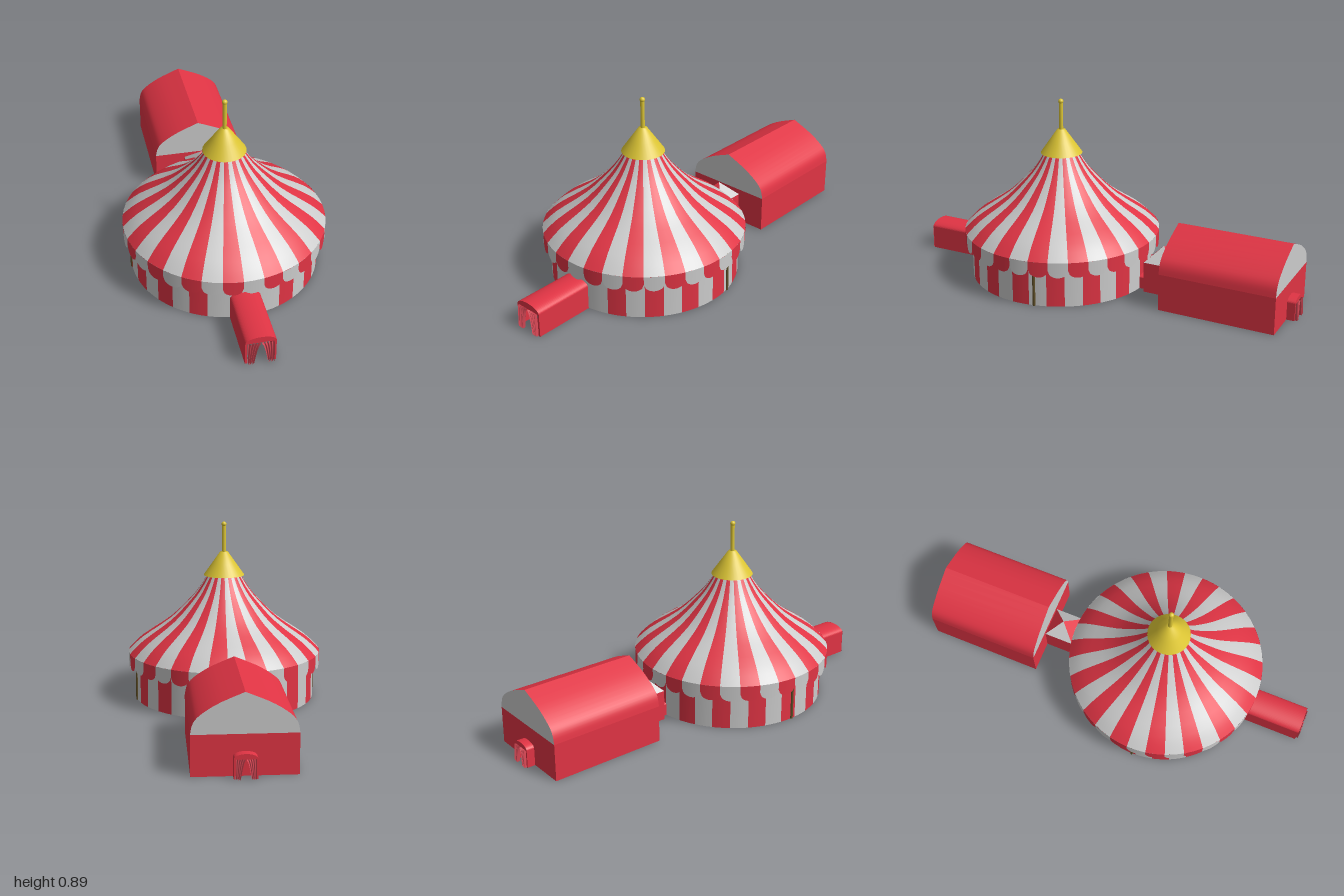
import * as THREE from 'three';
import { mergeGeometries } from 'three/addons/utils/BufferGeometryUtils.js';

const mat = (color, flatShading = false) =>
  new THREE.MeshStandardMaterial({ color, flatShading, side: THREE.DoubleSide });
const RED = mat(0xe03444), WHITE = mat(0xe8e8ea), GOLD = mat(0xdcc534);
const CLOTH = mat(0xdc4a58), WOOD = mat(0x5f4f28);
const RED_FLAT = mat(0xe03444, true), WHITE_FLAT = mat(0xe8e8ea, true);
const DEG = Math.PI / 180;

function add(parent, name, geometry, material, x = 0, y = 0, z = 0) {
  const mesh = new THREE.Mesh(geometry, material);
  mesh.name = name;
  mesh.position.set(x, y, z);
  parent.add(mesh);
  return mesh;
}

// Sheet whose points follow a rule f(u, v) -> [x, y, z], u to the right, v up
function sheet(nu, nv, f) {
  const g = new THREE.PlaneGeometry(1, 1, nu, nv);
  const p = g.attributes.position;
  for (let i = 0; i < p.count; i++) p.setXYZ(i, ...f(p.getX(i) + 0.5, p.getY(i) + 0.5));
  g.computeVertexNormals();
  return g;
}

// Upright panel bent round the tent axis between two angles
function bentPanel(a0, a1, r, top, bottom, n = 3) {
  return sheet(n, 1, (u, v) => {
    const a = (a0 + (a1 - a0) * u) * DEG;
    return [r * Math.sin(a), v > 0.5 ? top : bottom(u), r * Math.cos(a)];
  });
}

// Four upright walls, open above and below
function fourWalls(w, h, d) {
  return new THREE.CylinderGeometry(Math.SQRT1_2, Math.SQRT1_2, h, 4, 1, true, Math.PI / 4)
    .scale(w, 1, d).translate(0, h / 2, 0);
}

// Outline of an arched doorway
function arch(path, w, h, rise) {
  path.moveTo(-w, 0);
  path.lineTo(-w, h - rise);
  path.absellipse(0, h - rise, w, rise, Math.PI, 0, true);
  path.lineTo(w, 0);
  return path;
}

// Arched tunnel running along +z with a pair of tied curtains at its mouth
function entrance(name, w, h, length) {
  const g = new THREE.Group();
  g.name = name;
  const rise = h * 0.2, doorH = h * 0.79, doorW = w * 0.86;
  const shell = arch(new THREE.Shape(), w, h, rise);
  const t = 0.004;
  shell.lineTo(w - t, 0);
  shell.lineTo(w - t, h - rise);
  shell.absellipse(0, h - rise, w - t, rise - t, 0, Math.PI, false);
  shell.lineTo(-w + t, 0);
  add(g, 'tunnel', new THREE.ExtrudeGeometry(shell,
    { depth: length, bevelEnabled: false, curveSegments: 14 }), RED);

  const front = arch(new THREE.Shape(), w, h, rise);
  front.lineTo(doorW, 0);
  front.lineTo(doorW, doorH);
  front.lineTo(-doorW, doorH);
  front.lineTo(-doorW, 0);
  add(g, 'doorFrame', new THREE.ShapeGeometry(front, 14), RED, 0, 0, length + 0.0005);

  for (const s of [-1, 1]) {
    const curtain = sheet(32, 8, (u, v) => {
      const inner = doorW * (0.5 * Math.pow(1 - v, 0.6) + 0.03);
      const x = s < 0 ? -doorW + (doorW - inner) * u : inner + (doorW - inner) * u;
      return [x, doorH * v, length + 0.003 + 0.009 * Math.cos(u * Math.PI * 8) * (1 - 0.4 * v)];
    });
    add(g, s < 0 ? 'rightCurtain' : 'leftCurtain', curtain, CLOTH);
  }
  return g;
}

function bigTent() {
  const g = new THREE.Group();
  g.name = 'bigTent';

  // Striped roof with a scalloped valance
  const curve = new THREE.SplineCurve([[0.484, 0.235], [0.415, 0.3], [0.27, 0.4], [0.168, 0.5],
    [0.12, 0.56], [0.083, 0.62], [0.06, 0.66]].map(p => new THREE.Vector2(...p)));
  const profile = curve.getPoints(18);
  const roof = [[], []], valance = [[], []], walls = [[], []];
  const step = 360 / 32;
  for (let i = 0; i < 32; i++) {
    const a = -1.8 + i * step;
    roof[i % 2].push(new THREE.LatheGeometry(profile, 2, a * DEG, step * DEG));
    valance[i % 2].push(bentPanel(a, a + step, 0.484, 0.235,
      u => 0.197 - 0.037 * Math.sqrt(Math.max(0, 1 - (2 * u - 1) ** 2)), 12));
  }

  // Striped wall, with a wide plain panel round the doorway
  const R = 0.452, half = 21.8, door = Math.asin(0.068 / R) / DEG, n = 29;
  const wallStep = (360 - 2 * half) / n;
  for (let i = 0; i < n; i++) {
    const a = half + i * wallStep;
    walls[1 - i % 2].push(bentPanel(a, a + wallStep, R, 0.235, () => 0));
  }
  walls[0].push(bentPanel(-half, -door, R, 0.235, () => 0),
    bentPanel(door, half, R, 0.235, () => 0),
    bentPanel(-door, door, R, 0.235,
      u => 0.115 + 0.029 * Math.sqrt(Math.max(0, 1 - (2 * u - 1) ** 2)), 14));

  [['white', WHITE], ['red', RED]].forEach(([c, m], k) => {
    add(g, c + 'RoofStripes', mergeGeometries(roof[k]), m);
    add(g, c + 'Scallops', mergeGeometries(valance[k]), m);
    add(g, c + 'WallStripes', mergeGeometries(walls[k]), m);
  });

  // Side posts
  add(g, 'leftPost', new THREE.CylinderGeometry(0.007, 0.007, 0.2, 8), WOOD, 0.444, 0.1, -0.09);
  add(g, 'rightPost', new THREE.CylinderGeometry(0.007, 0.007, 0.2, 8), WOOD, -0.452, 0.1, 0);

  // Gold cap and finial
  const cap = [[0.102, 0.618], [0.06, 0.678], [0.02, 0.735], [0, 0.736]];
  add(g, 'cap', new THREE.LatheGeometry(cap.map(p => new THREE.Vector2(...p)), 32), GOLD);
  add(g, 'mast', new THREE.CylinderGeometry(0.01, 0.01, 0.145, 12), GOLD, 0, 0.805, 0);
  add(g, 'mastBall', new THREE.SphereGeometry(0.0125, 16, 10), GOLD, 0, 0.874, 0);
  return g;
}

function backTent() {
  const g = new THREE.Group();
  g.name = 'backTent';
  const W = 0.225, L = 0.565, wallH = 0.18;
  add(g, 'walls', fourWalls(2 * W, wallH, L), RED_FLAT);

  // Curved roof halves, ridge to eave
  const side = new THREE.SplineCurve([[0, 0.357], [0.11, 0.31], [0.185, 0.262], [0.215, 0.225],
    [W, wallH]].map(p => new THREE.Vector2(...p)));
  for (const s of [0, 1]) {
    const half = sheet(1, 14, (u, v) => {
      const p = side.getPoint(1 - v);
      return [p.x, p.y, (0.5 - u) * L];
    });
    add(g, s ? 'rightRoof' : 'leftRoof', half, RED).rotation.y = s * Math.PI;
  }

  // Gable ends
  const pts = side.getPoints(14);
  const gable = new THREE.Shape([...pts.map(p => new THREE.Vector2(-p.x, p.y)).reverse(),
    ...pts.slice(1)]);
  add(g, 'frontGable', new THREE.ShapeGeometry(gable), WHITE, 0, 0, L / 2);
  add(g, 'backGable', new THREE.ShapeGeometry(gable), WHITE, 0, 0, -L / 2).rotation.y = Math.PI;
  return g;
}

// Small square booth joining the two tents, under a two-coloured pyramid
function linkBooth() {
  const g = new THREE.Group();
  g.name = 'linkBooth';
  const w = 0.147;
  add(g, 'boothWalls', fourWalls(w, 0.152, w), RED_FLAT);
  for (let i = 0; i < 4; i++) {
    const face = new THREE.ConeGeometry(w * Math.SQRT1_2, 0.074, 1, 1, true,
      (i - 0.5) * Math.PI / 2, Math.PI / 2);
    add(g, 'boothRoof' + (i + 1), face, i % 2 ? WHITE_FLAT : RED_FLAT, 0, 0.189, 0);
  }
  return g;
}

export function createModel() {
  const model = new THREE.Group();
  model.name = 'circusTent';
  const place = (part, z, turn = 0) => {
    part.position.z = z;
    part.rotation.y = turn;
    model.add(part);
  };
  place(bigTent(), 0.245);
  place(backTent(), -0.667);
  place(linkBooth(), -0.312);
  place(entrance('frontEntrance', 0.07, 0.145, 0.295), 0.693);
  place(entrance('backEntrance', 0.05, 0.107, 0.04), -0.948, Math.PI);
  place(entrance('linkEntrance', 0.045, 0.07, 0.035), -0.239);
  return model;
}
